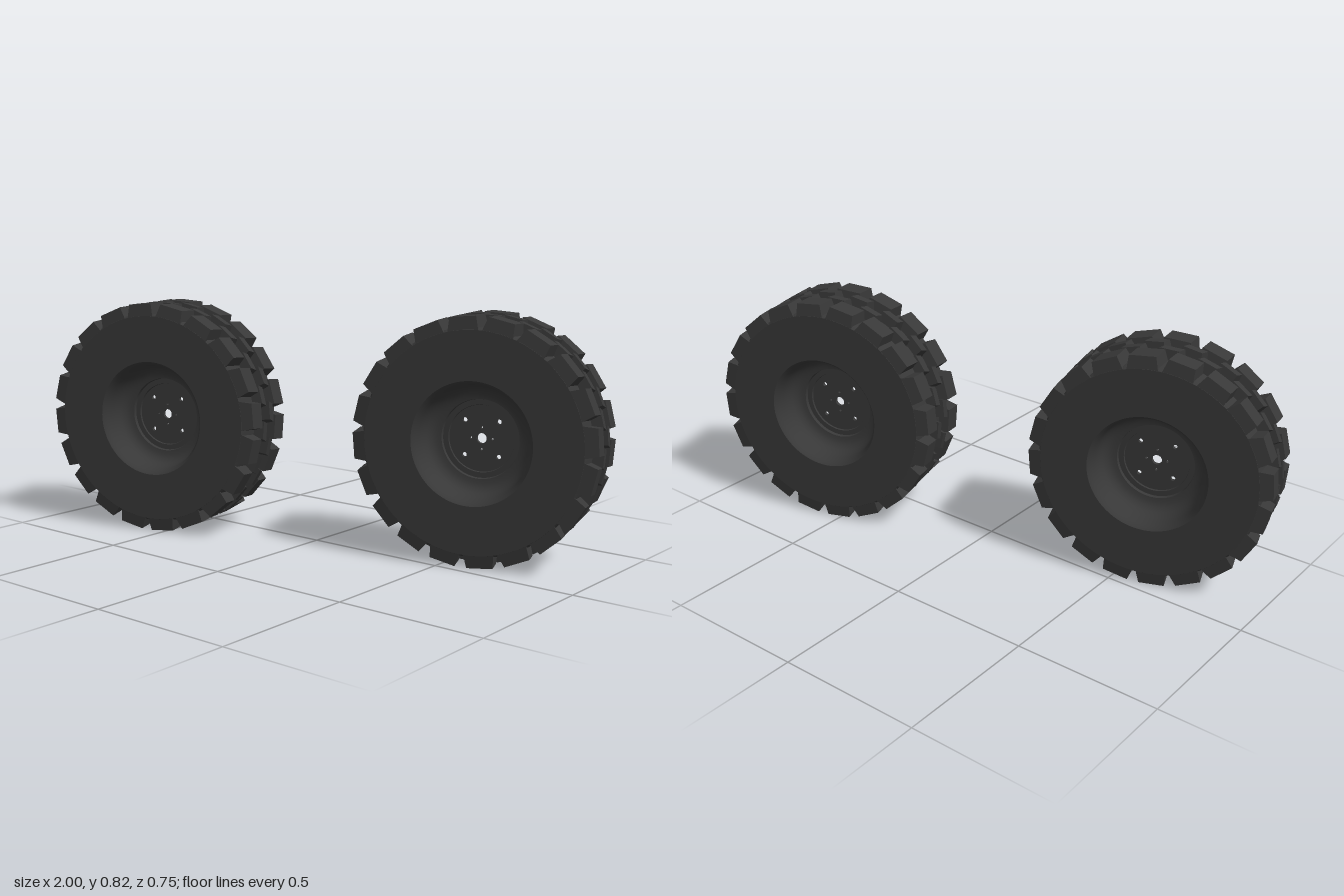
import * as THREE from 'three';
import { mergeGeometries } from 'three/addons/utils/BufferGeometryUtils.js';

const rubber = new THREE.MeshStandardMaterial({ color: 0x383838 });
rubber.name = 'dark rubber';

const LUGS = 20;
const FLOOR = 0.372; // radius of the groove floor
const TOP = 0.407; // radius of the lug tops

function addMesh(parent, name, geometry) {
  const mesh = new THREE.Mesh(geometry, rubber);
  mesh.name = name;
  parent.add(mesh);
}

// Surface of revolution around z from [radius, z] points
function lathe(points) {
  const profile = points.map(([r, z]) => new THREE.Vector2(r, z));
  return new THREE.LatheGeometry(profile, 80).rotateX(Math.PI / 2);
}

// One tapered, slanted tread block pointing along +x
function lug({ z0, z1, half, slant, draft, edge }) {
  const geo = new THREE.BoxGeometry(1, 1, 1);
  const p = geo.attributes.position;
  for (let i = 0; i < p.count; i++) {
    const top = p.getX(i) > 0;
    const inner = z0 - (top ? 0 : draft);
    const outer = z1 + (top ? 0 : edge);
    const z = p.getZ(i) > 0 ? outer : inner;
    const t = Math.sign(p.getY(i)) * (half + (top ? 0 : draft));
    p.setXYZ(i, top ? TOP : FLOOR - 0.012, t + slant * (z - (z0 + z1) / 2), z);
  }
  geo.computeVertexNormals();
  return geo;
}

// A ring of lugs; the rear rows are the front rows turned half a turn
function lugRow(spec, phase, rear) {
  const parts = [];
  for (let i = 0; i < LUGS; i++) {
    const geo = lug(spec);
    if (rear) geo.rotateX(Math.PI);
    geo.rotateZ((rear ? -phase : phase) + (i * Math.PI * 2) / LUGS);
    parts.push(geo);
  }
  return mergeGeometries(parts);
}

function hubDisc() {
  const shape = new THREE.Shape().absarc(0, 0, 0.112, 0, Math.PI * 2);
  const hole = (x, y, r) => shape.holes.push(new THREE.Path().absarc(x, y, r, 0, Math.PI * 2, true));
  hole(0, 0, 0.017);
  for (let i = 0; i < 4; i++) {
    const a = Math.PI / 4 + (i * Math.PI) / 2;
    hole(0.082 * Math.cos(a), 0.082 * Math.sin(a), 0.008);
    const b = a + Math.PI / 4;
    hole(0.036 * Math.cos(b), 0.036 * Math.sin(b), 0.004);
  }
  return new THREE.ExtrudeGeometry(shape, { depth: 0.012, bevelEnabled: false, curveSegments: 24 })
    .translate(0, 0, -0.006);
}

function createWheel() {
  const wheel = new THREE.Group();

  // Tyre carcass
  addMesh(wheel, 'treadFloor', lathe([[0.365, -0.125], [FLOOR, -0.115], [FLOOR, 0.115], [0.365, 0.125]]));
  const bowl = [[0.203, 0.125], [0.197, 0.119], [0.191, 0.107], [0.187, 0.09], [0.183, 0.065],
    [0.175, 0.045], [0.162, 0.031], [0.146, 0.025], [0.132, 0.023]];
  const step = [[0.132, 0.023], [0.13, 0.012]];
  const ledge = [[0.13, 0.012], [0.112, 0.012]];
  const lip = [[0.112, 0.012], [0.11, 0.004]];
  const sidewall = [[0.365, 0.125], [0.203, 0.125]];
  const bands = { Sidewall: sidewall, RimBowl: bowl, RimStep: step, RimLedge: ledge, HubLip: lip };
  for (const [name, pts] of Object.entries(bands)) {
    addMesh(wheel, 'front' + name, lathe(pts));
    addMesh(wheel, 'rear' + name, lathe(pts.map(([r, z]) => [r, -z]).reverse()));
  }
  addMesh(wheel, 'hubDisc', hubDisc());

  // Tread: wide shoulder blocks and slim slanted centre blocks
  const shoulder = { z0: 0.05, z1: 0.119, half: 0.044, slant: 0.12, draft: 0.007, edge: 0.006 };
  const centre = { z0: 0.011, z1: 0.038, half: 0.032, slant: 0.45, draft: 0.005, edge: 0.005 };
  const phase = THREE.MathUtils.degToRad(4.5);
  for (const rear of [false, true]) {
    const side = rear ? 'rear' : 'front';
    addMesh(wheel, side + 'ShoulderLugs', lugRow(shoulder, phase, rear));
    addMesh(wheel, side + 'CentreLugs', lugRow(centre, -phase, rear));
  }
  return wheel;
}

export function createModel() {
  const model = new THREE.Group();
  model.name = 'wheelPair';
  for (const s of [1, -1]) {
    const wheel = createWheel();
    wheel.name = s > 0 ? 'leftWheel' : 'rightWheel';
    wheel.position.set(0.572 * s, 0.41, -0.155 * s);
    wheel.rotation.y = THREE.MathUtils.degToRad(15);
    model.add(wheel);
  }
  return model;
}
